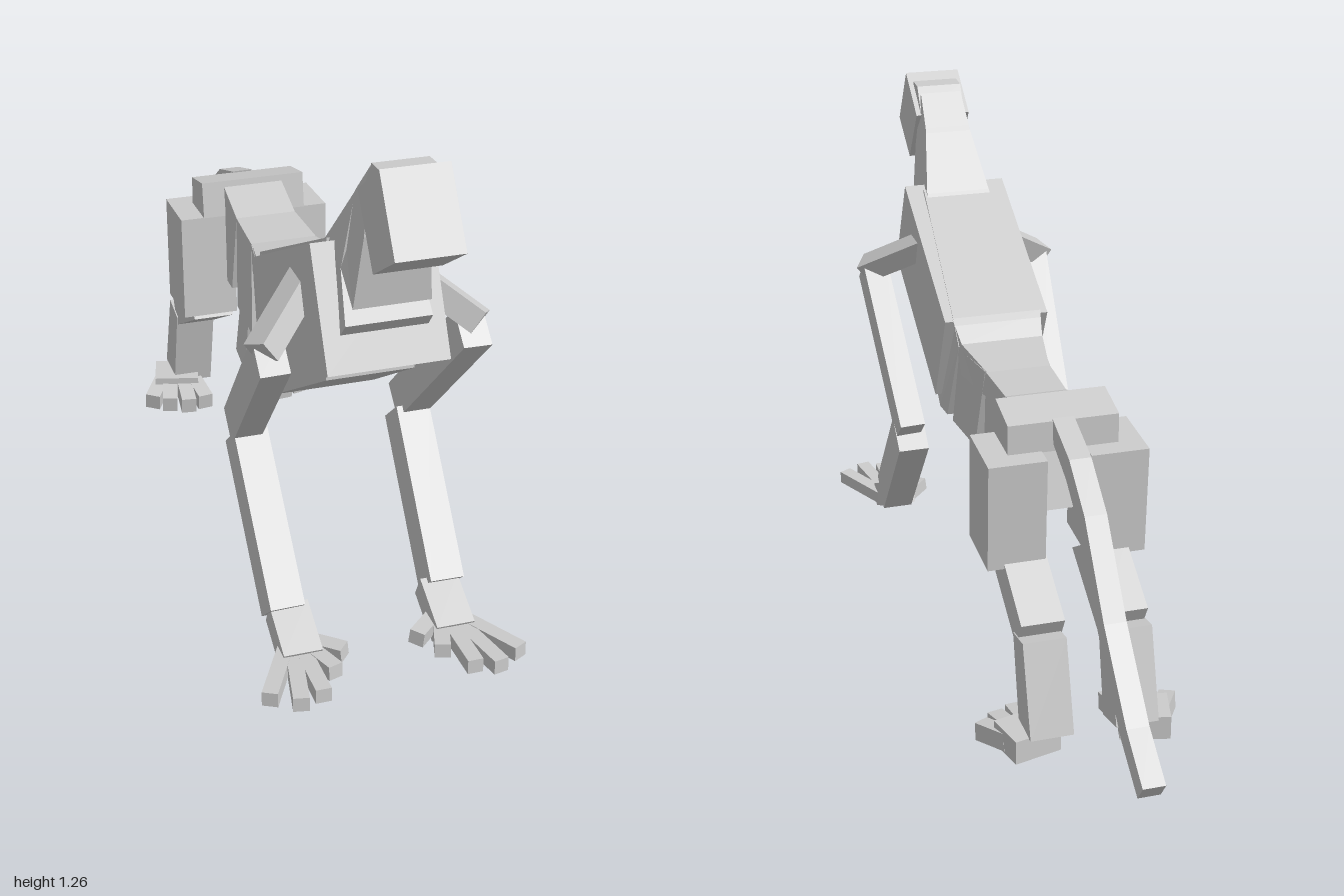
import * as THREE from 'three';

const material = new THREE.MeshStandardMaterial({ color: 0xcccccc, flatShading: true });

// Side outline of [z, y, halfWidth] corners, given thickness along x
function prism(name, corners, x = 0) {
  const shape = new THREE.Shape(corners.map(([z, y]) => new THREE.Vector2(z, y)));
  const geometry = new THREE.ExtrudeGeometry(shape, { depth: 2, bevelEnabled: false });
  geometry.translate(0, 0, -1).rotateY(-Math.PI / 2);
  const p = geometry.attributes.position;
  for (let i = 0; i < p.count; i++) {
    const c = corners.find(([z, y]) => Math.hypot(z - p.getZ(i), y - p.getY(i)) < 1e-4);
    p.setX(i, p.getX(i) * c[2]);
  }
  geometry.computeVertexNormals();
  const mesh = new THREE.Mesh(geometry, material);
  mesh.name = name;
  mesh.position.x = x;
  return mesh;
}

// Box running from a to b
function bar(name, a, b, width, depth) {
  const start = new THREE.Vector3(...a), end = new THREE.Vector3(...b);
  const along = end.clone().sub(start);
  const length = along.length();
  along.normalize();
  const side = new THREE.Vector3(1, 0, 0);
  if (Math.abs(along.x) > 0.6) side.set(0, 0, -Math.sign(along.x));
  side.addScaledVector(along, -side.dot(along)).normalize();
  const front = new THREE.Vector3().crossVectors(side, along);
  const mesh = new THREE.Mesh(new THREE.BoxGeometry(width, length, depth), material);
  mesh.name = name;
  mesh.quaternion.setFromRotationMatrix(new THREE.Matrix4().makeBasis(side, along, front));
  mesh.position.copy(start).add(end).multiplyScalar(0.5);
  return mesh;
}

// Same half width at every corner
const even = (w, points) => points.map(([z, y]) => [z, y, w]);

function createArm(s) {
  const arm = new THREE.Group();
  arm.name = s > 0 ? 'leftArm' : 'rightArm';
  const at = (x, y, z) => [s * x, y, z];
  arm.add(
    bar('shoulder', at(0.1, 0.885, 0.55), at(0.245, 0.782, 0.685), 0.06, 0.055),
    bar('upperArm', at(0.225, 0.777, 0.694), at(0.202, 0.425, 0.372), 0.066, 0.09),
    bar('forearm', at(0.197, 0.41, 0.392), at(0.19, 0.105, 0.667), 0.08, 0.1),
    bar('palm', at(0.18, 0.1, 0.66), at(0.18, 0.045, 0.775), 0.09, 0.065),
  );
  // Fanned fingers, inner to outer
  const fingers = [
    [0.145, 0.73, 0.085, 0.79], [0.155, 0.76, 0.125, 0.85], [0.175, 0.76, 0.175, 0.92],
    [0.195, 0.76, 0.23, 0.935], [0.205, 0.74, 0.29, 0.9],
  ];
  for (const [x0, z0, x1, z1] of fingers)
    arm.add(bar('finger', at(x0, 0.05, z0), at(x1, 0.057, z1), 0.036, 0.034));
  return arm;
}

function createLeg(s) {
  const leg = new THREE.Group();
  leg.name = s > 0 ? 'leftLeg' : 'rightLeg';
  const at = (x, y, z) => [s * x, y, z];
  leg.add(
    prism('thigh', even(0.07, [[-0.228, 0.68], [-0.394, 0.67], [-0.38, 0.4], [-0.213, 0.41]]), s * 0.122),
    prism('shin', even(0.052, [[-0.36, 0.425], [-0.523, 0.327], [-0.48, 0.25], [-0.27, 0.37]]), s * 0.1),
    prism('lowerLeg', even(0.052, [[-0.465, 0.28], [-0.545, 0.295], [-0.61, 0.075], [-0.515, 0.05]]), s * 0.103),
    bar('foot', at(0.13, 0.045, -0.59), at(0.155, 0.045, -0.49), 0.12, 0.06),
  );
  // Toes spread outward
  const toes = [[0.1, 0.09, -0.42], [0.13, 0.14, -0.41], [0.165, 0.19, -0.43], [0.185, 0.232, -0.46]];
  toes.forEach(([x0, x1, z1], i) =>
    leg.add(bar('toe', at(x0, 0.04, -0.51 - i * 0.01), at(x1, 0.028, z1), 0.04, 0.044)));
  return leg;
}

export function createModel() {
  const model = new THREE.Group();
  model.name = 'blockAnimal';

  // Head and neck
  model.add(
    prism('head', even(0.073, [[0.9, 1.26], [0.78, 1.17], [0.88, 1.03], [1, 1.11]])),
    prism('napePlate', even(0.06, [[0.87, 1.243], [0.82, 1.24], [0.78, 1.17], [0.83, 1.15]])),
    prism('upperNeck', [
      [0.8, 1.225, 0.055], [0.73, 1.147, 0.06], [0.68, 1.066, 0.068],
      [0.716, 0.975, 0.085], [0.8, 0.915, 0.085], [0.815, 1.08, 0.07],
    ]),
    prism('lowerNeck', [
      [0.73, 1.145, 0.06], [0.62, 0.998, 0.085], [0.5, 0.88, 0.1],
      [0.74, 0.815, 0.098], [0.785, 0.87, 0.095], [0.72, 0.97, 0.085],
    ]),
  );

  // Chest and body segments
  model.add(
    prism('chest', even(0.135, [[0.667, 1.01], [0.233, 0.78], [0.357, 0.53], [0.796, 0.766]])),
    prism('ribcage', [
      [0.64, 1.005, 0.09], [0.23, 0.79, 0.115], [0.195, 0.725, 0.11],
      [0.31, 0.49, 0.115], [0.37, 0.49, 0.12], [0.68, 0.69, 0.1],
    ]),
    prism('spineJoint', [[0.235, 0.785, 0.115], [0.18, 0.738, 0.106], [0.035, 0.718, 0.08], [0.035, 0.65, 0.08], [0.19, 0.65, 0.106]]),
    prism('frontBelly', [[0.195, 0.72, 0.108], [0.04, 0.718, 0.083], [0.12, 0.48, 0.09], [0.28, 0.485, 0.108]]),
    prism('middleBelly', [[0.036, 0.718, 0.082], [-0.12, 0.718, 0.076], [-0.105, 0.48, 0.08], [0.05, 0.477, 0.085]]),
    prism('rearBelly', [[-0.12, 0.718, 0.076], [-0.24, 0.755, 0.076], [-0.31, 0.5, 0.076], [-0.17, 0.5, 0.076]]),
    prism('pelvis', even(0.133, [[-0.24, 0.77], [-0.345, 0.745], [-0.345, 0.67], [-0.225, 0.68]])),
  );

  // Tail links
  const tail = new THREE.Group();
  tail.name = 'tail';
  const tailTop = [[-0.34, 0.75], [-0.47, 0.705], [-0.585, 0.62], [-0.73, 0.43], [-0.89, 0.265], [-1, 0.188]];
  const tailBottom = [[-0.35, 0.69], [-0.45, 0.645], [-0.55, 0.57], [-0.69, 0.39], [-0.86, 0.218], [-0.97, 0.145]];
  for (let i = 0; i < tailTop.length - 1; i++)
    tail.add(prism('tailLink', even(0.026, [tailTop[i], tailTop[i + 1], tailBottom[i + 1], tailBottom[i]])));
  model.add(tail);

  // Limbs on both sides
  for (const s of [1, -1]) model.add(createArm(s), createLeg(s));
  return model;
}
